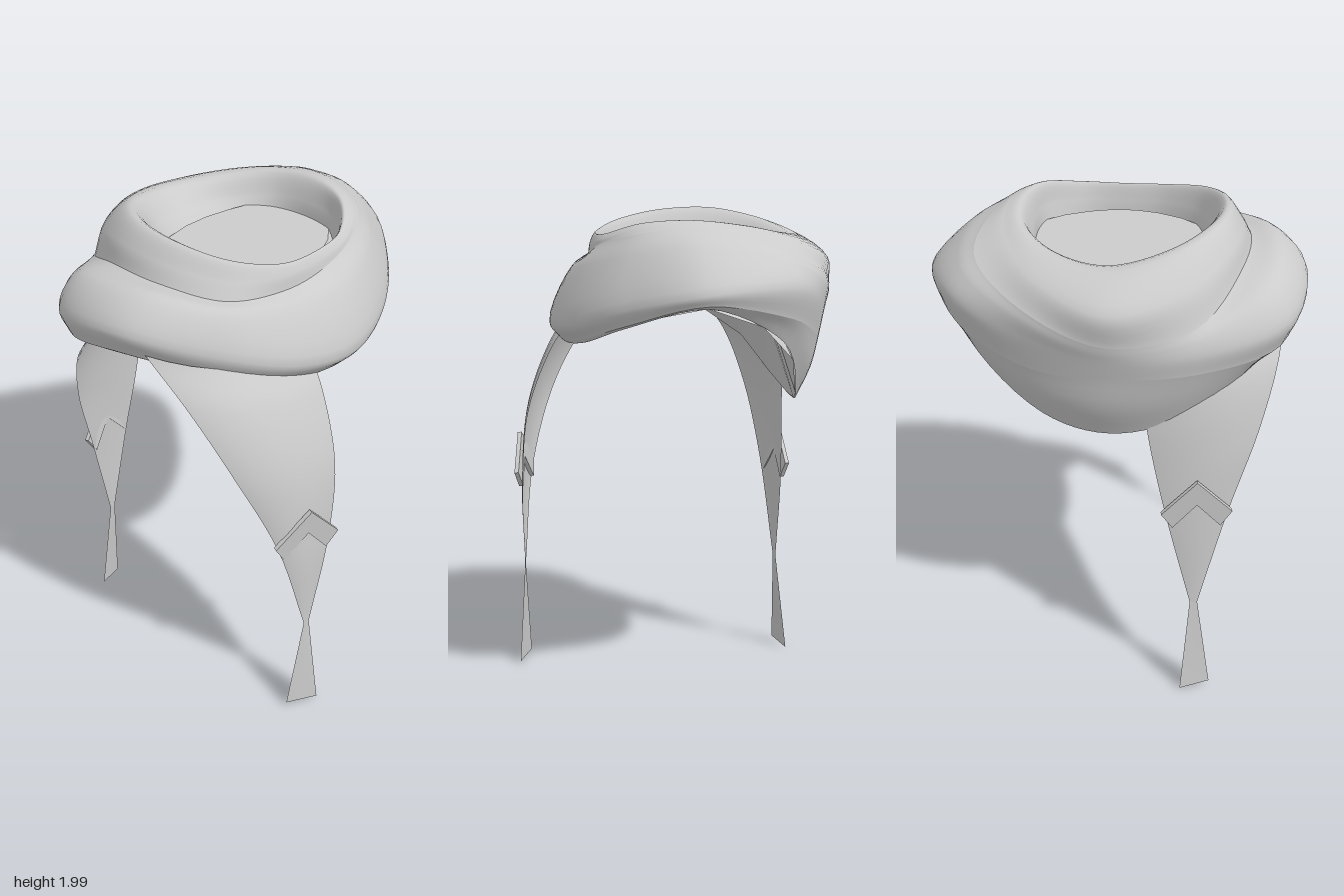
import * as THREE from 'three';
import { ParametricGeometry } from 'three/addons/geometries/ParametricGeometry.js';

const V = (x, y, z) => new THREE.Vector3(x, y, z);
const cloth = new THREE.MeshStandardMaterial({ color: 0xcccccc, side: THREE.DoubleSide });

// Closed contour: radii and heights every 30 degrees, from +x round to the front (+z)
function ring(radii, heights) {
  const points = radii.map((r, i) => {
    const a = (i * Math.PI) / 6;
    return V(r * Math.cos(a), heights[i], r * Math.sin(a));
  });
  return new THREE.CatmullRomCurve3(points, true);
}

function surface(name, fn, slices, stacks) {
  const mesh = new THREE.Mesh(new ParametricGeometry(fn, slices, stacks), cloth);
  mesh.name = name;
  return mesh;
}

// Smooth cloth layer passing through a list of contours
function wrap(name, rings, stacks) {
  return surface(name, (u, v, target) => {
    const profile = new THREE.CatmullRomCurve3(rings.map((r) => r.getPoint(u % 1)));
    target.copy(profile.getPoint(v));
  }, 72, stacks);
}

// Cloth strip between a left and a right edge, bowed outwards in the middle
function strip(name, leftPoints, rightPoints, bow, stacks) {
  const left = new THREE.CatmullRomCurve3(leftPoints);
  const right = new THREE.CatmullRomCurve3(rightPoints);
  return surface(name, (u, v, target) => {
    target.lerpVectors(left.getPoint(v), right.getPoint(v), u);
    target.addScaledVector(bow, 4 * u * (1 - u) * (1 - v));
  }, 8, stacks);
}

// Raised chevron ornament
function chevron(name, x, z, turn, lean) {
  const shape = new THREE.Shape([
    [0, 0.11], [-0.14, -0.04], [-0.095, -0.11], [0, 0], [0.095, -0.11], [0.14, -0.04],
  ].map(([px, py]) => new THREE.Vector2(px, py)));
  const geometry = new THREE.ExtrudeGeometry(shape, { depth: 0.018, bevelEnabled: false });
  geometry.translate(0, 0, -0.009);
  const mesh = new THREE.Mesh(geometry, cloth);
  mesh.name = name;
  mesh.position.set(x, 0.92, z);
  mesh.rotation.set(lean, turn, 0);
  return mesh;
}

export function createModel() {
  const model = new THREE.Group();
  model.name = 'wrappedHeadscarf';

  // Contours of the wrap, from inside the opening over the crest to the lower hem
  const innerHem = ring(
    [0.32, 0.32, 0.31, 0.295, 0.31, 0.315, 0.315, 0.31, 0.3, 0.295, 0.305, 0.32],
    Array(12).fill(1.75));
  const innerWall = ring(
    [0.33, 0.34, 0.32, 0.3, 0.32, 0.34, 0.35, 0.36, 0.37, 0.36, 0.36, 0.35],
    [1.86, 1.85, 1.83, 1.82, 1.83, 1.85, 1.87, 1.87, 1.85, 1.82, 1.82, 1.84]);
  const crest = ring(
    [0.37, 0.36, 0.34, 0.315, 0.34, 0.38, 0.41, 0.45, 0.47, 0.47, 0.42, 0.4],
    [1.95, 1.94, 1.9, 1.89, 1.9, 1.94, 1.98, 1.99, 1.95, 1.9, 1.9, 1.93]);
  const collarBulge = ring(
    [0.42, 0.4, 0.365, 0.335, 0.365, 0.425, 0.47, 0.525, 0.59, 0.645, 0.56, 0.48],
    [1.945, 1.925, 1.88, 1.86, 1.86, 1.875, 1.91, 1.91, 1.84, 1.79, 1.85, 1.91]);
  const valley = ring(
    [0.46, 0.43, 0.375, 0.345, 0.375, 0.46, 0.505, 0.555, 0.635, 0.64, 0.625, 0.6],
    [1.925, 1.9, 1.86, 1.82, 1.805, 1.815, 1.845, 1.82, 1.7, 1.66, 1.75, 1.85]);
  const shoulder = ring(
    [0.57, 0.49, 0.44, 0.42, 0.435, 0.52, 0.61, 0.69, 0.655, 0.635, 0.635, 0.66],
    [1.86, 1.82, 1.78, 1.755, 1.77, 1.805, 1.85, 1.79, 1.66, 1.63, 1.71, 1.8]);
  const widest = ring(
    [0.725, 0.58, 0.515, 0.51, 0.53, 0.6, 0.72, 0.77, 0.665, 0.625, 0.63, 0.715],
    [1.69, 1.62, 1.55, 1.53, 1.57, 1.66, 1.73, 1.66, 1.6, 1.59, 1.64, 1.71]);
  const bandHem = ring(
    [0.715, 0.56, 0.475, 0.465, 0.485, 0.565, 0.685, 0.735, 0.65, 0.605, 0.605, 0.69],
    [1.65, 1.56, 1.49, 1.47, 1.49, 1.56, 1.63, 1.55, 1.52, 1.51, 1.5, 1.59]);
  const panelMiddle = ring(
    [0.7, 0.545, 0.46, 0.447, 0.47, 0.55, 0.675, 0.695, 0.605, 0.57, 0.575, 0.665],
    [1.64, 1.552, 1.478, 1.458, 1.478, 1.552, 1.62, 1.52, 1.4, 1.36, 1.38, 1.55]);
  const lowerHem = ring(
    [0.685, 0.53, 0.445, 0.43, 0.455, 0.535, 0.66, 0.66, 0.55, 0.5, 0.52, 0.64],
    [1.64, 1.555, 1.48, 1.46, 1.48, 1.555, 1.615, 1.49, 1.28, 1.21, 1.26, 1.5]);

  model.add(
    wrap('innerCollar', [innerHem, innerWall, crest, collarBulge, valley], 20),
    wrap('outerBand', [valley, shoulder, widest, bandHem], 15),
    wrap('lowerBackPanel', [bandHem, panelMiddle, lowerHem], 6),
  );

  // Faceted lining: flat floor under the opening, sloping down to the hem
  const lining = surface('lining', (u, v, target) => {
    const edge = lowerHem.getPoint(u % 1);
    const drop = Math.max(0, (v - 0.6) / 0.4);
    target.set(edge.x * v, THREE.MathUtils.lerp(1.8, edge.y, drop), edge.z * v);
  }, 18, 5);
  lining.geometry = lining.geometry.toNonIndexed();
  lining.geometry.computeVertexNormals();
  model.add(lining);

  // Front tail, with its flared end below the pinch
  const frontTail = new THREE.Group();
  frontTail.name = 'frontTail';
  frontTail.add(
    strip('frontTailCloth',
      [V(-0.67, 1.65, 0.08), V(-0.65, 1.48, 0.27), V(-0.59, 1.23, 0.43), V(-0.47, 0.87, 0.55), V(-0.36, 0.44, 0.6)],
      [V(-0.13, 1.54, 0.41), V(-0.15, 1.42, 0.49), V(-0.185, 1.15, 0.59), V(-0.24, 0.83, 0.615), V(-0.335, 0.44, 0.605)],
      V(-0.06, 0, 0.08), 24),
    strip('frontTailEnd',
      [V(-0.36, 0.44, 0.6), V(-0.43, 0.02, 0.575)],
      [V(-0.335, 0.44, 0.605), V(-0.305, 0.005, 0.635)], V(0, 0, 0), 1),
    chevron('frontChevron', -0.357, 0.603, -0.33, 0.12),
  );

  // Back tail
  const backTail = new THREE.Group();
  backTail.name = 'backTail';
  backTail.add(
    strip('backTailCloth',
      [V(-0.65, 1.6, -0.22), V(-0.63, 1.45, -0.34), V(-0.57, 1.2, -0.43), V(-0.47, 0.87, -0.485), V(-0.36, 0.43, -0.525)],
      [V(-0.13, 1.4, -0.49), V(-0.145, 1.24, -0.5), V(-0.18, 1.05, -0.51), V(-0.235, 0.81, -0.525), V(-0.33, 0.43, -0.53)],
      V(-0.03, 0, -0.06), 24),
    strip('backTailEnd',
      [V(-0.36, 0.43, -0.525), V(-0.42, 0.02, -0.54)],
      [V(-0.33, 0.43, -0.53), V(-0.3, 0.0, -0.575)], V(0, 0, 0), 1),
    chevron('backChevron', -0.345, -0.528, 0.15, -0.08),
  );

  model.add(frontTail, backTail);
  return model;
}
